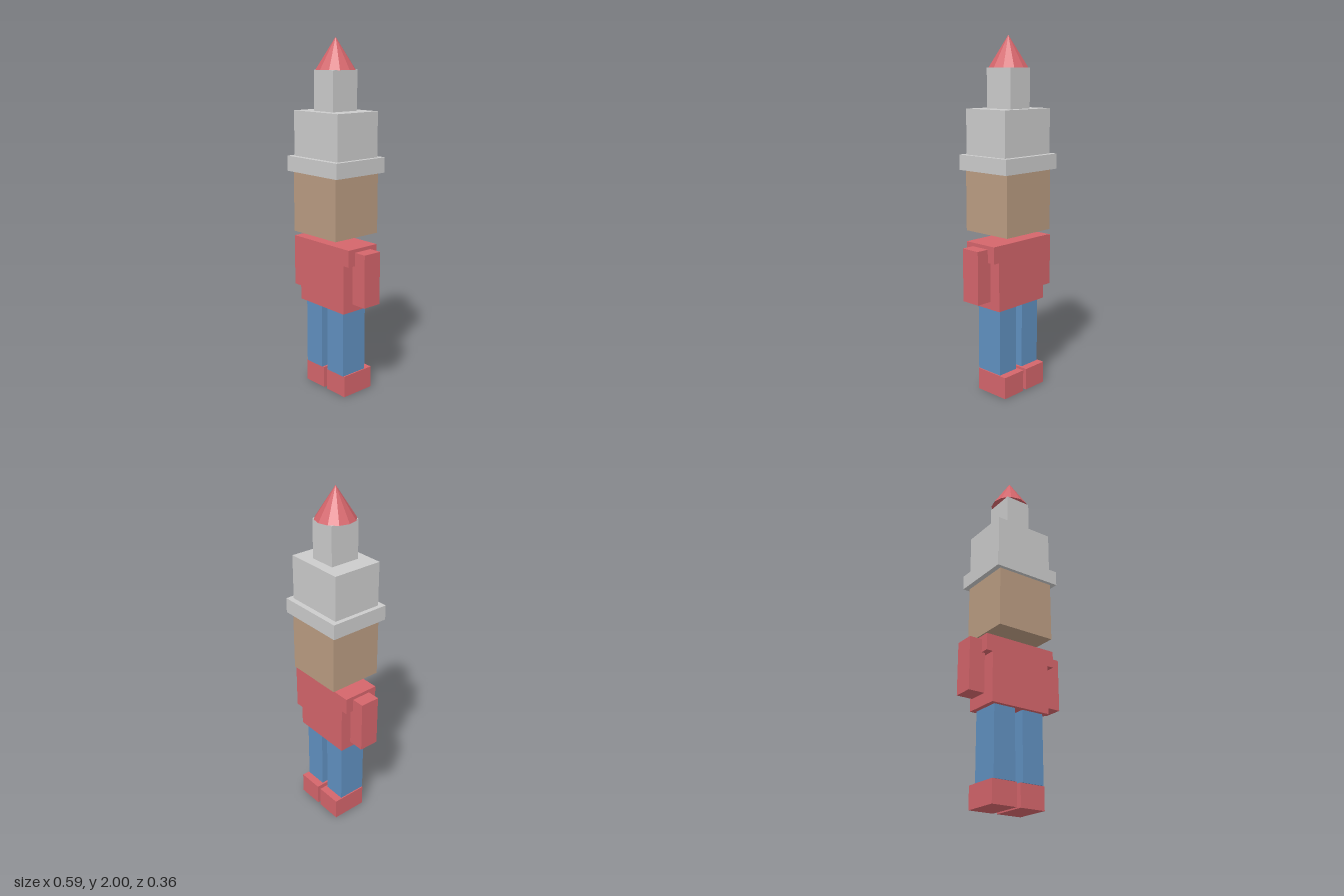
import * as THREE from 'three';

const material = (color) => new THREE.MeshStandardMaterial({ color, flatShading: true });

export function createModel() {
  const model = new THREE.Group();
  model.name = 'blockFigure';
  const red = material(0xd4656b);
  const blue = material(0x6090c0);
  const tan = material(0xba9c82);
  const grey = material(0xcccccc);

  const add = (name, geometry, mat) => {
    const mesh = new THREE.Mesh(geometry, mat);
    mesh.name = name;
    model.add(mesh);
    return mesh;
  };
  // Box given by its extents on each axis
  const box = (name, mat, [x0, x1], [y0, y1], [z0, z1]) =>
    add(name, new THREE.BoxGeometry(x1 - x0, y1 - y0, z1 - z0), mat)
      .position.set((x0 + x1) / 2, (y0 + y1) / 2, (z0 + z1) / 2);

  // Paired limbs
  for (const [side, s] of [['left', 1], ['right', -1]]) {
    const span = (a, b) => (s > 0 ? [a, b] : [-b, -a]);
    box(side + 'Foot', red, span(0.012, 0.163), [0, 0.126], [-0.13, 0.08]);
    box(side + 'Leg', blue, span(0.024, 0.156), [0.126, 0.512], [-0.084, 0.084]);
    box(side + 'Arm', red, span(0.202, 0.297), [0.566, 0.865], [-0.058, 0.058]);
  }

  // Torso: T-shaped outline with wider shoulders
  const outline = [
    [-0.183, 0.512], [0.183, 0.512], [0.183, 0.79], [0.222, 0.79],
    [0.222, 0.885], [-0.222, 0.885], [-0.222, 0.79], [-0.183, 0.79],
  ].map(([x, y]) => new THREE.Vector2(x, y));
  const depth = 0.212;
  add('torso', new THREE.ExtrudeGeometry(new THREE.Shape(outline), { depth, bevelEnabled: false }), red)
    .position.z = -depth / 2;

  // Floating head and stacked hat
  box('head', tan, [-0.174, 0.174], [0.932, 1.275], [-0.157, 0.157]);
  box('hatBrim', grey, [-0.204, 0.204], [1.275, 1.36], [-0.178, 0.178]);
  box('hatCrown', grey, [-0.178, 0.178], [1.36, 1.61], [-0.147, 0.147]);
  box('hatTower', grey, [-0.077, 0.077], [1.61, 1.828], [-0.088, 0.088]);

  // Twelve-sided pointed tip
  add('hatTip', new THREE.ConeGeometry(0.111, 0.172, 12), red).position.y = 1.914;

  return model;
}
